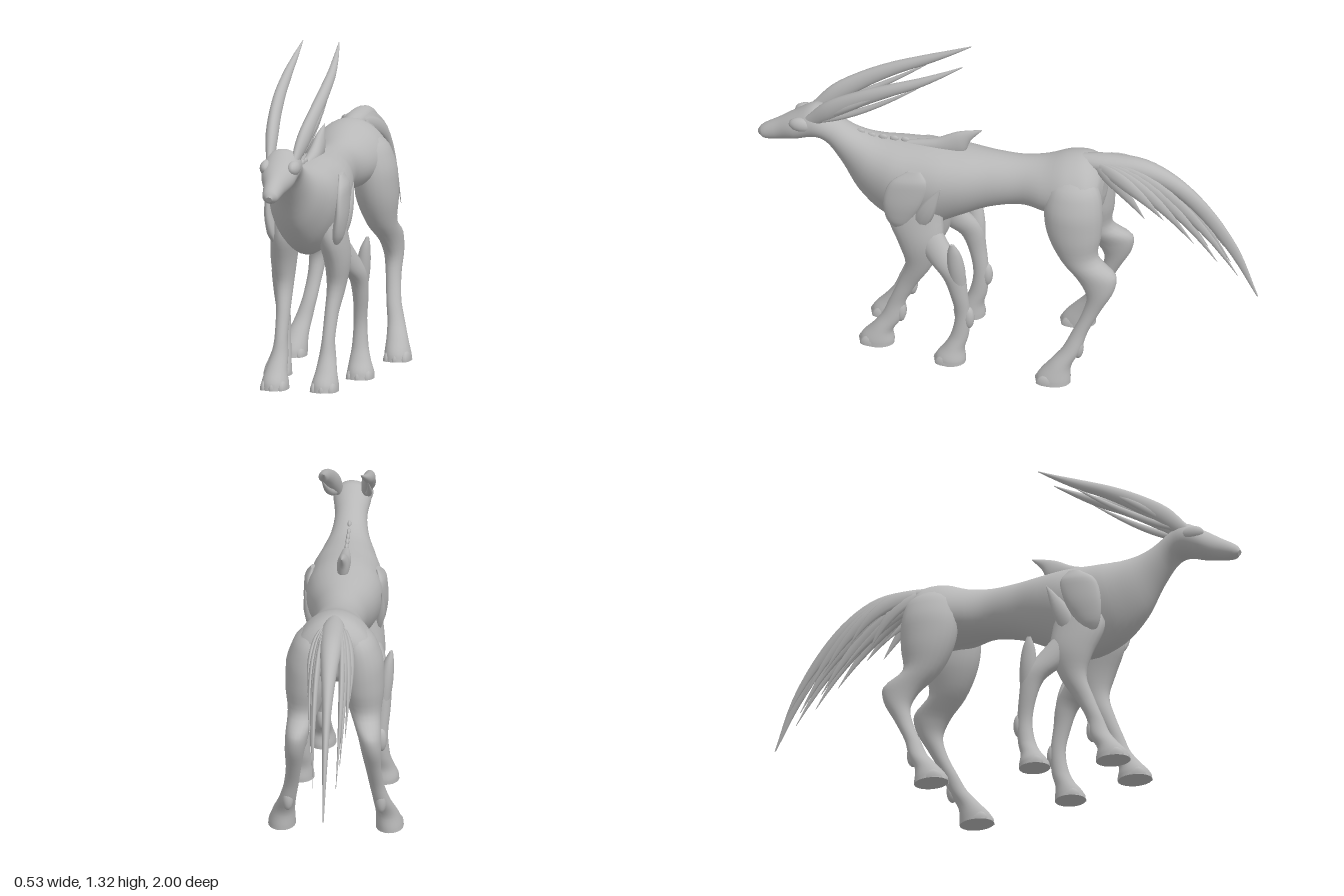
import * as THREE from 'three';

const hide = new THREE.MeshStandardMaterial({ color: 0xb8b8b8 });
hide.name = 'grey hide';

// Smooth loft. Each section: [zA, yA, zB, yB, x, halfWidth, taper]; A is the top or back edge,
// B the bottom or front edge, and taper narrows the section towards B.
function loft(sections, side = 1, sub = 4, sides = 20) {
  const curve = (f) => new THREE.CatmullRomCurve3(sections.map(f));
  const a = curve((s) => new THREE.Vector3(0, s[1], s[0]));
  const b = curve((s) => new THREE.Vector3(0, s[3], s[2]));
  const c = curve((s) => new THREE.Vector3(s[4] * side, s[5], s[6] || 0));
  const rows = (sections.length - 1) * sub;
  const pos = [], index = [];
  for (let i = 0; i <= rows; i++) {
    const A = a.getPoint(i / rows), B = b.getPoint(i / rows), C = c.getPoint(i / rows);
    for (let j = 0; j < sides; j++) {
      const t = (j / sides) * Math.PI * 2, k = (1 + Math.sin(t)) / 2;
      const w = Math.max(C.y, 0.001) * (1 - C.z * Math.sin(t));
      pos.push(C.x + w * Math.cos(t), Math.max(0, A.y + (B.y - A.y) * k), A.z + (B.z - A.z) * k);
    }
  }
  for (let i = 0; i < rows; i++) for (let j = 0; j < sides; j++) {
    const p = i * sides + j, q = i * sides + (j + 1) % sides;
    index.push(p, q, p + sides, q, q + sides, p + sides);
  }
  // end caps with their own vertices, so the rims stay sharp
  for (const [row, flip] of [[0, true], [rows, false]]) {
    const start = pos.length / 3;
    pos.push(...pos.slice(row * sides * 3, (row + 1) * sides * 3));
    for (let j = 1; j < sides - 1; j++) {
      index.push(start, start + (flip ? j + 1 : j), start + (flip ? j : j + 1));
    }
  }
  const g = new THREE.BufferGeometry();
  g.setAttribute('position', new THREE.Float32BufferAttribute(pos, 3));
  g.setIndex(index);
  g.computeVertexNormals();
  return g;
}

// Tapering curved blade; points are [x, y, z], h is its depth and w its half width.
function strand(root, bend, tip, w, h, side = 1) {
  const curve = new THREE.QuadraticBezierCurve3(
    new THREE.Vector3(...root), new THREE.Vector3(...bend), new THREE.Vector3(...tip));
  const sections = [];
  for (let i = 0; i <= 6; i++) {
    const t = i / 6, p = curve.getPoint(t), d = curve.getTangent(t);
    const k = Math.max(0.03, Math.sin(Math.PI * (0.2 + 0.8 * t)));
    const len = Math.hypot(d.y, d.z), nz = (d.y / len) * h * k / 2, ny = (-d.z / len) * h * k / 2;
    sections.push([p.z + nz, p.y + ny, p.z - nz, p.y - ny, p.x, w * k]);
  }
  return loft(sections, side, 2, 8);
}

export function createModel() {
  const model = new THREE.Group();
  const add = (name, geometry, parent = model) => {
    const m = new THREE.Mesh(geometry, hide);
    m.name = name;
    parent.add(m);
    return m;
  };
  const ball = (name, x, y, z, rx, ry, rz, parent) => {
    const m = add(name, new THREE.SphereGeometry(1, 14, 10), parent);
    m.position.set(x, y, z);
    m.scale.set(rx, ry, rz);
  };

  // head, neck, chest, waist and rump in one skin
  add('body', loft([
    [1.0, 0.845, 0.99, 0.825, 0, 0.012], [0.985, 0.868, 0.968, 0.815, 0, 0.03],
    [0.92, 0.91, 0.9, 0.825, 0, 0.043], [0.85, 0.955, 0.84, 0.84, 0, 0.068],
    [0.77, 0.998, 0.77, 0.86, 0, 0.074], [0.7, 0.965, 0.73, 0.85, 0, 0.066],
    [0.62, 0.915, 0.66, 0.76, 0, 0.07, 0.1], [0.53, 0.888, 0.59, 0.64, 0, 0.1, 0.2],
    [0.42, 0.885, 0.49, 0.55, 0, 0.132, 0.25], [0.3, 0.89, 0.34, 0.51, 0, 0.143, 0.25],
    [0.18, 0.885, 0.2, 0.58, 0, 0.135, 0.15], [0.06, 0.88, 0.07, 0.645, 0, 0.105, 0.05],
    [-0.05, 0.88, -0.06, 0.678, 0, 0.093], [-0.15, 0.895, -0.16, 0.675, 0, 0.124, -0.1],
    [-0.24, 0.928, -0.25, 0.67, 0, 0.152, -0.15], [-0.32, 0.932, -0.32, 0.66, 0, 0.156, -0.15],
    [-0.375, 0.89, -0.375, 0.7, 0, 0.12, -0.1], [-0.39, 0.84, -0.39, 0.76, 0, 0.05],
  ], 1, 4, 32));

  // dorsal fin and the small bumps before it
  add('dorsalFin', loft([
    [0.42, 0.885, 0.4, 0.86, 0, 0.015], [0.29, 0.915, 0.28, 0.85, 0, 0.026],
    [0.21, 0.955, 0.18, 0.86, 0, 0.024], [0.16, 0.97, 0.15, 0.925, 0, 0.014],
    [0.105, 0.982, 0.105, 0.978, 0, 0.002],
  ]));
  for (let i = 0; i < 5; i++) ball('neckBump', 0, 0.888 + (i ? 0 : 0.012), 0.59 - i * 0.045, 0.008, 0.013, 0.018);

  // leg shapes from the hip or shoulder down to the sole
  const legs = {
    frontLeg: [
      [0.26, 0.74, 0.42, 0.76, 0.085, 0.035], [0.24, 0.62, 0.46, 0.6, 0.092, 0.053],
      [0.235, 0.51, 0.41, 0.475, 0.107, 0.05], [0.28, 0.385, 0.385, 0.39, 0.105, 0.037],
      [0.345, 0.28, 0.415, 0.29, 0.097, 0.027], [0.385, 0.2, 0.455, 0.19, 0.095, 0.025],
      [0.4, 0.12, 0.48, 0.13, 0.096, 0.033], [0.435, 0.06, 0.52, 0.075, 0.1, 0.043],
      [0.43, 0.018, 0.56, 0.03, 0.1, 0.053], [0.43, 0, 0.57, 0, 0.1, 0.055],
    ],
    middleLeg: [
      [0.27, 0.6, 0.38, 0.56, 0.095, 0.035], [0.2, 0.5, 0.29, 0.44, 0.13, 0.04],
      [0.14, 0.42, 0.225, 0.38, 0.155, 0.036], [0.125, 0.32, 0.195, 0.31, 0.158, 0.03],
      [0.115, 0.22, 0.175, 0.21, 0.153, 0.026], [0.12, 0.12, 0.19, 0.12, 0.155, 0.032],
      [0.135, 0.06, 0.215, 0.07, 0.16, 0.043], [0.13, 0.018, 0.245, 0.03, 0.165, 0.053],
      [0.13, 0, 0.255, 0, 0.165, 0.055],
    ],
    hindLeg: [
      [-0.33, 0.895, -0.22, 0.89, 0.06, 0.035], [-0.385, 0.835, -0.185, 0.825, 0.09, 0.068],
      [-0.403, 0.74, -0.17, 0.73, 0.105, 0.085], [-0.4, 0.64, -0.185, 0.63, 0.11, 0.083],
      [-0.39, 0.54, -0.24, 0.52, 0.122, 0.06], [-0.465, 0.48, -0.32, 0.435, 0.142, 0.045],
      [-0.46, 0.415, -0.35, 0.375, 0.15, 0.038], [-0.41, 0.32, -0.335, 0.3, 0.156, 0.03],
      [-0.36, 0.22, -0.295, 0.21, 0.168, 0.029], [-0.335, 0.14, -0.26, 0.14, 0.185, 0.034],
      [-0.3, 0.07, -0.215, 0.085, 0.2, 0.043], [-0.3, 0.018, -0.17, 0.03, 0.208, 0.052],
      [-0.3, 0, -0.16, 0, 0.21, 0.054],
    ],
  };
  const heels = { frontLeg: [0.096, 0.15, 0.408], middleLeg: [0.154, 0.2, 0.122], hindLeg: [0.182, 0.15, -0.322] };

  for (const side of [1, -1]) {
    const word = side > 0 ? 'left' : 'right';
    for (const [name, sections] of Object.entries(legs)) {
      const leg = new THREE.Group();
      leg.name = `${word} ${name}`;
      model.add(leg);
      add('limb', loft(sections, side), leg);
      const [hx, hy, hz] = heels[name];
      ball('dewclaw', hx * side, hy, hz, 0.022, 0.05, 0.024, leg);
      // three toes on the front of the hoof
      const sole = sections[sections.length - 1];
      for (const k of [-1, 0, 1]) {
        const toe = add('toe', new THREE.SphereGeometry(1, 12, 6, 0, Math.PI * 2, 0, Math.PI / 2), leg);
        toe.position.set(side * sole[4] + k * 0.034, 0, sole[2] - 0.045 - Math.abs(k) * 0.012);
        toe.scale.set(0.02, 0.04, 0.048);
      }
    }

    // blunt elbow spur standing free of the chest
    add(`${word} elbowSpur`, loft([
      [0.17, 0.555, 0.188, 0.555, 0.19, 0.006], [0.148, 0.51, 0.2, 0.51, 0.18, 0.02],
      [0.132, 0.43, 0.2, 0.42, 0.168, 0.029], [0.13, 0.34, 0.19, 0.34, 0.16, 0.024],
    ], side));
    ball(`${word} brow`, side * 0.054, 0.93, 0.815, 0.025, 0.03, 0.05);

    // shoulder plate and the folded flap behind it
    add(`${word} shoulderPlate`, loft([
      [0.32, 0.835, 0.37, 0.83, 0.127, 0.008], [0.29, 0.79, 0.44, 0.775, 0.14, 0.02],
      [0.31, 0.7, 0.465, 0.69, 0.142, 0.023], [0.36, 0.6, 0.455, 0.6, 0.13, 0.023],
      [0.39, 0.545, 0.42, 0.545, 0.115, 0.008],
    ], side));
    add(`${word} shoulderFlap`, strand([0.12, 0.57, 0.33], [0.145, 0.66, 0.3], [0.15, 0.78, 0.235], 0.02, 0.07, side));

    // long swept horn with finer strands below it
    add(`${word} horn`, loft([
      [0.8, 0.965, 0.75, 0.94, 0.05, 0.015], [0.72, 1.055, 0.69, 0.985, 0.063, 0.024],
      [0.6, 1.13, 0.57, 1.07, 0.078, 0.024], [0.48, 1.187, 0.45, 1.143, 0.086, 0.022],
      [0.36, 1.235, 0.34, 1.2, 0.087, 0.018], [0.25, 1.28, 0.245, 1.259, 0.081, 0.011],
      [0.165, 1.318, 0.165, 1.314, 0.073, 0.002],
    ], side));
    add(`${word} lowerHornStrand`, strand([0.055, 0.955, 0.77], [0.085, 1.02, 0.585], [0.09, 1.222, 0.31], 0.013, 0.028, side));
    add(`${word} outerHornStrand`, strand([0.06, 0.97, 0.75], [0.105, 1.08, 0.61], [0.1, 1.165, 0.46], 0.01, 0.03, side));

    // tail feathers, from the shortest to the longest
    const tips = [
      [0.06, 0.71, -0.56], [0.08, 0.73, -0.64], [0.07, 0.63, -0.76], [0.055, 0.55, -0.85], [0.045, 0.49, -0.93],
    ];
    tips.forEach(([x, y, z], i) => add(`${word} tailFeather`, strand(
      [0.025, 0.905, -0.35], [x + 0.02, 0.9 + i * 0.012, -0.44 - i * 0.055], [x, y, z], 0.013, 0.06, side)));
  }

  // central plume of the tail, with inner feathers beneath
  add('tail', loft([
    [-0.27, 0.932, -0.26, 0.86, 0, 0.03], [-0.4, 0.945, -0.4, 0.875, 0, 0.046],
    [-0.55, 0.94, -0.53, 0.86, 0, 0.042], [-0.68, 0.88, -0.64, 0.82, 0, 0.03],
    [-0.8, 0.77, -0.76, 0.72, 0, 0.018], [-0.92, 0.59, -0.89, 0.555, 0, 0.01],
    [-1.0, 0.377, -0.995, 0.375, 0, 0.002],
  ]));
  for (const [y, z] of [[0.75, -0.53], [0.67, -0.71], [0.58, -0.8], [0.52, -0.89]]) {
    add('innerTailFeather', strand([0, 0.9, -0.36], [0, 0.9, z + 0.22], [0, y, z], 0.014, 0.06));
  }
  return model;
}
